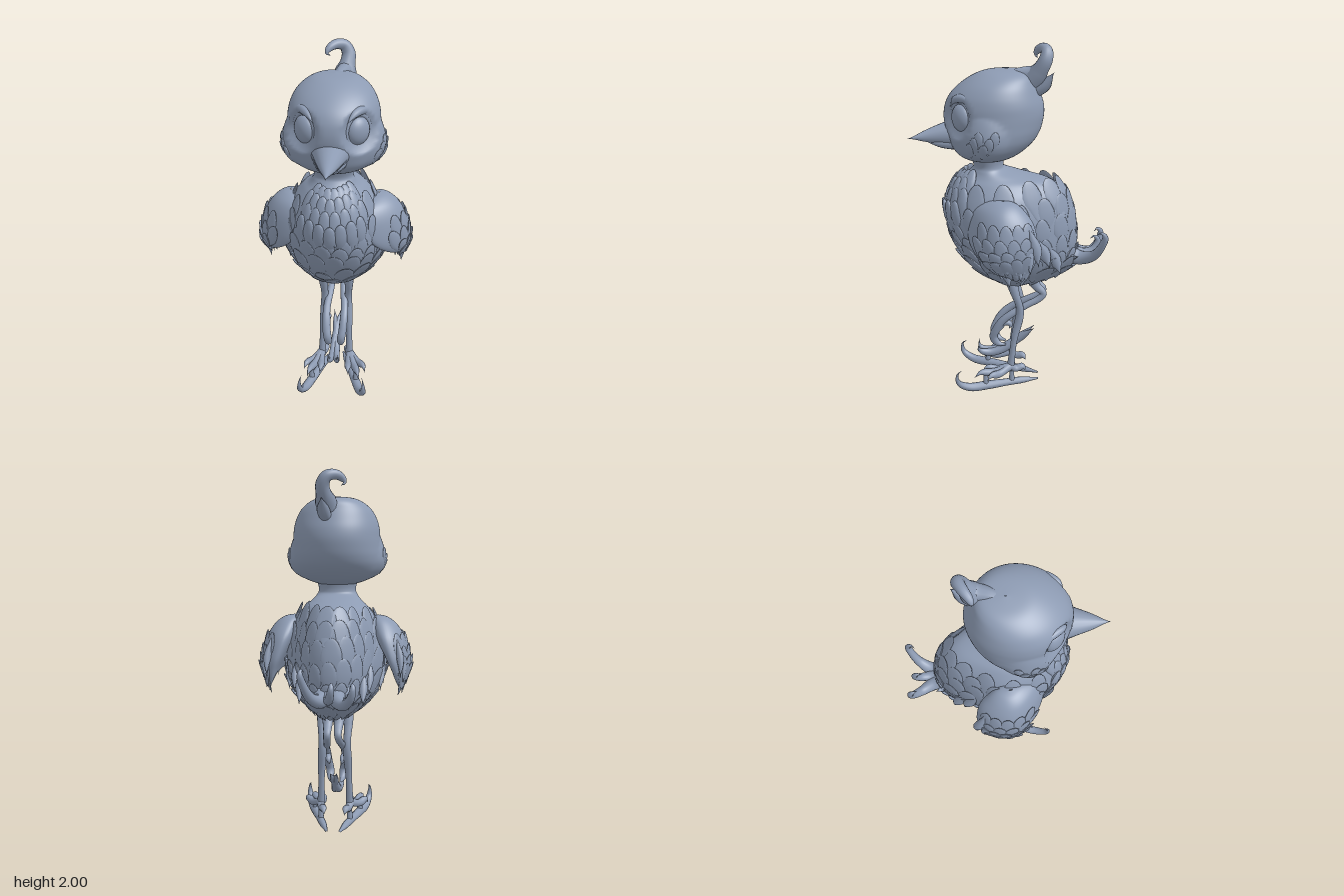
import * as THREE from 'three';
import { mergeGeometries } from 'three/addons/utils/BufferGeometryUtils.js';

const clay = new THREE.MeshStandardMaterial({ color: 0x8d9bb3 });
clay.name = 'blue grey clay';

// Smooth interpolation through a list of numbers, u in index units
function spline(v, u) {
  const n = v.length - 1, i = Math.min(Math.floor(u), n - 1), t = u - i;
  const a = v[Math.max(i - 1, 0)], b = v[i], c = v[i + 1], d = v[Math.min(i + 2, n)];
  return b + 0.5 * t * (c - a + t * (2 * a - 5 * b + 4 * c - d + t * (3 * (b - c) + d - a)));
}

// Surface of stacked ellipses; rows are [y, centre x, half width, front z, back z]
function surface(rows, warp) {
  const [Y, X, W, F, B] = [0, 1, 2, 3, 4].map(k => rows.map(r => r[k]));
  return (u, th) => {
    const f = spline(F, u), b = spline(B, u);
    return warp(new THREE.Vector3(
      spline(X, u) + Math.max(spline(W, u), 0.001) * Math.sin(th),
      spline(Y, u), (f + b) / 2 + (f - b) / 2 * Math.cos(th)));
  };
}

function loft(P, spans, steps = 6, sides = 56) {
  const n = spans * steps, pos = [], idx = [];
  for (let i = 0; i <= n; i++)
    for (let j = 0; j < sides; j++) pos.push(...P(i / steps, j / sides * Math.PI * 2).toArray());
  for (let i = 0; i < n; i++)
    for (let j = 0; j < sides; j++) {
      const a = i * sides + j, b = i * sides + (j + 1) % sides;
      idx.push(a, b, b + sides, a, b + sides, a + sides);
    }
  const g = new THREE.BufferGeometry();
  g.setAttribute('position', new THREE.Float32BufferAttribute(pos, 3));
  g.setIndex(idx);
  g.computeVertexNormals();
  return g;
}

// Tube of changing radius; s mirrors x, sq squashes the section
function horn(pts, radii, s = 1, sq = [1, 1, 1], seg = 32, sides = 12) {
  const curve = new THREE.CatmullRomCurve3(pts.map(p => new THREE.Vector3(p[0] * s, p[1], p[2])));
  const g = new THREE.TubeGeometry(curve, seg, 1, sides, false);
  const p = g.attributes.position, v = new THREE.Vector3(), k = new THREE.Vector3(...sq);
  for (let i = 0; i <= seg; i++) {
    const c = curve.getPointAt(i / seg), r = Math.max(spline(radii, i / seg * (radii.length - 1)), 0.0005);
    for (let j = 0; j <= sides; j++) {
      const q = i * (sides + 1) + j;
      v.fromBufferAttribute(p, q).sub(c).multiplyScalar(r).multiply(k).add(c);
      p.setXYZ(q, v.x, v.y, v.z);
    }
  }
  return g;
}

// Pointed feather lying on a surface, tip down and slightly proud
function feather(P, u, th, w, len, thick, lift) {
  const g = new THREE.SphereGeometry(1, 12, 10), p = g.attributes.position;
  for (let i = 0; i < p.count; i++) {
    const y = p.getY(i), k = y < 0 ? 1 + 0.7 * y : 1;
    p.setXYZ(i, p.getX(i) * w * k, y * len, p.getZ(i) * thick * k);
  }
  g.computeVertexNormals();
  const e = 0.02, c = P(u, th), up = P(u + e, th).sub(P(u - e, th)).normalize();
  const side = P(u, th + e).sub(P(u, th - e)).normalize();
  const n = side.clone().cross(up).normalize();
  side.crossVectors(up, n);
  g.rotateX(lift);
  g.applyMatrix4(new THREE.Matrix4().makeBasis(side, up, n).setPosition(c.addScaledVector(n, -0.004)));
  return g;
}

const BODY = [
  [0.62, 0, 0.02, 0.0, -0.06], [0.66, 0, 0.10, 0.07, -0.15], [0.72, 0, 0.175, 0.16, -0.3],
  [0.8, 0, 0.245, 0.24, -0.37], [0.9, 0, 0.282, 0.3, -0.38], [1.0, 0, 0.283, 0.335, -0.375],
  [1.1, 0, 0.268, 0.35, -0.355], [1.2, 0, 0.23, 0.325, -0.315], [1.265, 0, 0.18, 0.285, -0.235],
  [1.3, 0, 0.14, 0.24, -0.1], [1.33, 0, 0.115, 0.205, 0.01], [1.36, 0, 0.105, 0.195, 0.03], [1.42, 0, 0.12, 0.22, 0.02]];
const HEAD = [
  [1.385, 0, 0.09, 0.19, 0.04], [1.41, 0, 0.165, 0.26, -0.03], [1.45, 0, 0.222, 0.30, -0.09],
  [1.5, 0, 0.245, 0.322, -0.14], [1.55, 0, 0.25, 0.337, -0.168], [1.6, 0, 0.247, 0.347, -0.182],
  [1.65, 0, 0.243, 0.347, -0.188], [1.7, 0, 0.238, 0.335, -0.182], [1.75, 0, 0.224, 0.305, -0.165],
  [1.8, 0, 0.195, 0.25, -0.145], [1.84, 0, 0.148, 0.185, -0.125], [1.862, 0, 0.092, 0.12, -0.085], [1.87, 0, 0.002, 0.02, 0.01]];
const WING = [
  [0.84, 0.37, 0.012, 0.0, -0.1], [0.88, 0.37, 0.032, 0.08, -0.13], [0.93, 0.365, 0.05, 0.165, -0.15],
  [1.0, 0.345, 0.068, 0.212, -0.16], [1.1, 0.305, 0.083, 0.215, -0.14], [1.17, 0.272, 0.075, 0.175, -0.09],
  [1.21, 0.25, 0.045, 0.1, -0.04], [1.222, 0.245, 0.002, 0.04, 0.02]];

// Body narrows toward the tail
const bodyP = surface(BODY, p => {
  p.x *= 1 - 0.24 * THREE.MathUtils.smoothstep(-p.z, -0.05, 0.22);
  return p;
});

// Head has puffed cheeks and hollows for the eyes
const socket = new THREE.Vector3(0.15, 1.637, 0.275), cheek = new THREE.Vector3(0.25, 1.52, 0.13);
const headP = surface(HEAD, p => {
  const a = new THREE.Vector3(Math.abs(p.x), p.y, p.z);
  const hollow = 0.05 * Math.max(0, 1 - (a.distanceTo(socket) / 0.115) ** 2);
  const puff = 0.026 * Math.max(0, 1 - (a.distanceTo(cheek) / 0.14) ** 2);
  p.x += Math.sign(p.x) * (puff - hollow * 0.6);
  p.z -= hollow * 0.8;
  return p;
});

export function createModel() {
  const root = new THREE.Group();
  const add = (name, geo, parent = root) => {
    const m = new THREE.Mesh(Array.isArray(geo) ? mergeGeometries(geo) : geo, clay);
    m.name = name;
    parent.add(m);
    return m;
  };

  // Body with irregular rows of low plumage
  add('body', loft(bodyP, BODY.length - 1));
  const plumage = [];
  for (let r = 0; r < 7; r++) {
    const u = 1.9 + r * 0.8, n = 13 + Math.round(6 * Math.sin(r / 6 * Math.PI));
    for (let j = 0; j < n; j++) {
      const k = Math.sin(j * 12.9 + r * 7.3);
      plumage.push(feather(bodyP, u + k * 0.25, (j + (r % 2) / 2 + k * 0.2) / n * Math.PI * 2, 0.05 + k * 0.01, 0.1 + k * 0.02, 0.011, 0.06));
    }
  }
  add('bodyFeathers', plumage);

  // Chest bib ending in a jagged edge
  const bib = [];
  for (let r = 0; r < 4; r++)
    for (let j = -3; j <= 3; j++) {
      const a = (j + (r % 2) / 2) * 0.21;
      bib.push(feather(bodyP, 5.6 + r * 0.65 + Math.abs(a) * 0.5, a, 0.04, 0.1, 0.02, 0.1));
    }
  add('chestBib', bib);

  // Head and cheek tufts
  add('head', loft(headP, HEAD.length - 1, 6, 72));
  const tufts = [];
  for (const s of [1, -1])
    for (let j = 0; j < 6; j++)
      tufts.push(feather(headP, 2.7 + (j % 3) * 0.6, s * (1.1 + j * 0.11), 0.026, 0.05, 0.01, 0.08));
  add('cheekTufts', tufts);

  // Beak
  add('upperBeak', horn([[0, 1.53, 0.25], [0, 1.522, 0.34], [0, 1.507, 0.44], [0, 1.49, 0.55]],
    [0.115, 0.08, 0.043, 0], 1, [1, 0.72, 1], 24, 20));
  add('lowerBeak', horn([[0, 1.49, 0.25], [0, 1.48, 0.34], [0, 1.485, 0.48]], [0.095, 0.062, 0], 1, [1, 0.55, 1], 16, 16));

  // Curled crest and the small tuft behind it
  add('crest', horn([[0.03, 1.8, -0.11], [0.045, 1.86, -0.155], [0.052, 1.925, -0.19], [0.03, 1.965, -0.195],
    [-0.01, 1.975, -0.175], [-0.045, 1.96, -0.15], [-0.06, 1.935, -0.14], [-0.04, 1.918, -0.15]],
    [0.05, 0.058, 0.042, 0.037, 0.031, 0.026, 0.018, 0], 1, [1, 1, 1], 48, 14));
  add('crestSweep', horn([[0.0, 1.83, 0.02], [0.02, 1.842, -0.05], [0.04, 1.85, -0.13], [0.045, 1.89, -0.17]], [0.01, 0.035, 0.045, 0.03]));
  add('crestTuft', horn([[0.035, 1.75, -0.13], [0.05, 1.795, -0.185], [0.055, 1.86, -0.235]], [0.03, 0.034, 0]));

  // Middle tail plume
  add('middleTailPlume', horn([[0, 0.86, -0.32], [0, 0.83, -0.42], [-0.01, 0.85, -0.48], [-0.02, 0.9, -0.505], [-0.02, 0.925, -0.485], [-0.02, 0.91, -0.46]],
    [0.045, 0.036, 0.027, 0.022, 0.016, 0]));

  for (const s of [1, -1]) {
    const side = s > 0 ? 'left' : 'right';

    // Eye with soft rim and brow
    const eye = new THREE.Group();
    eye.name = side + 'Eye';
    eye.position.set(s * 0.132, 1.637, 0.24);
    eye.rotation.y = s * 0.74;
    root.add(eye);
    add('eyeball', new THREE.SphereGeometry(1, 28, 20), eye).scale.set(0.068, 0.074, 0.045);
    add('eyeRim', new THREE.TorusGeometry(0.074, 0.014, 10, 36), eye).scale.set(1, 1.12, 1);
    add('brow', horn([[-0.08, 0.05, 0.015], [-0.03, 0.095, 0.015], [0.04, 0.098, 0], [0.09, 0.05, -0.01]], [0, 0.02, 0.02, 0], s), eye);

    // Wing: rounded shell wrapped around the shoulder, scale feathers and flight feathers
    const wingP = surface(WING.map(r => [r[0], r[1] * s, ...r.slice(2)]), p => {
      p.x -= s * (p.z > 0 ? 2.8 : 1.2) * p.z * p.z;
      return p;
    });
    const scales = [];
    add(side + 'Wing', loft(wingP, WING.length - 1, 5, 44));
    for (let r = 0; r < 4; r++)
      for (let j = -2; j <= 2; j++)
        scales.push(feather(wingP, 1.0 + r * 0.8, s * (Math.PI / 2 + (j + (r % 2) / 2) * 0.36), 0.042, 0.1, 0.011, 0.06));
    add(side + 'WingFeathers', scales);
    add(side + 'FlightFeathers', [
      [0.1, 0.86, 0.34], [0.05, 0.83, 0.365], [0, 0.78, 0.375], [-0.06, 0.82, 0.385], [-0.11, 0.86, 0.38], [-0.15, 0.9, 0.365]
    ].map(([z, y, x]) => horn([[x - 0.02, y + 0.2, z * 0.75], [x, y + 0.09, z], [x, y, z - 0.015]],
      [0.01, 0.034, 0], s, [0.6, 1, 1], 16, 10)));
    add(side + 'FlankFeathers', [
      [0.2, 0.85, -0.2], [0.17, 0.8, -0.26], [0.255, 0.84, -0.04], [0.25, 0.84, 0.06]
    ].map(([x, y, z]) => horn([[x, y + 0.14, z + 0.05], [x, y + 0.05, z], [x, y - 0.03, z - 0.03]], [0.01, 0.035, 0], s, [0.7, 1, 1], 14, 10)));

    // Outer tail plume curling at its tip
    const h = s > 0 ? 0.03 : -0.04;
    add(side + 'TailPlume', horn([[0.035, 0.86, -0.31], [0.045, 0.82, -0.4], [0.085, 0.835 + h * 0.5, -0.475],
      [0.12, 0.9 + h, -0.52], [0.132, 0.95 + h, -0.53], [0.128, 0.97 + h, -0.51], [0.115, 0.955 + h, -0.49]],
      [0.05, 0.045, 0.036, 0.027, 0.022, 0.017, 0], s, [1, 1, 1], 40));
    add(side + 'TailCovert', horn([[0.07, 0.9, -0.28], [0.09, 0.84, -0.36], [0.105, 0.85, -0.39]], [0.05, 0.03, 0], s));

    // Standing leg
    add(side + 'StandingLeg', horn([[0.07, 0.7, -0.01], [0.075, 0.61, -0.035], [0.07, 0.49, -0.066], [0.078, 0.32, -0.035], [0.083, 0.11, -0.01]],
      [0.035, 0.022, 0.024, 0.018, 0.023], s));

    // Splayed foot on a curled skate
    const skate = new THREE.Group();
    skate.name = side + 'Skate';
    skate.position.x = s * 0.09;
    skate.rotation.y = s * 0.31;
    root.add(skate);
    add('blade', horn([[0, 0.015, -0.185], [0, 0.022, -0.06], [0, 0.024, 0.12], [0, 0.03, 0.24], [0, 0.07, 0.305],
      [0, 0.125, 0.31], [0, 0.15, 0.28]], [0.006, 0.02, 0.022, 0.026, 0.026, 0.018, 0], 1, [1, 0.95, 0.8], 40), skate);
    for (const z of [0.14, -0.02])
      add('strut', new THREE.CylinderGeometry(0.013, 0.018, 0.08, 12), skate).position.set(0, 0.06, z);
    for (const [x, z] of [[-0.045, 0.14], [0, 0.2], [0.05, 0.14], [0, -0.1]])
      add('toe', horn([[0, 0.13, -0.01], [x * 0.6, 0.108, z * 0.45], [x, 0.115, z * 0.85], [x * 1.1, 0.085, z * 1.05]],
        [0.024, 0.021, 0.021, 0], 1, [1, 1, 1], 18, 10), skate);

    // Folded leg tucked between the standing legs
    add(side + 'FoldedLeg', horn([[0.035, 0.7, -0.12], [0.03, 0.63, -0.16], [0.03, 0.585, -0.2], [0.033, 0.555, -0.18], [0.04, 0.51, -0.1],
      [0.052, 0.455, -0.01], [0.052, 0.41, 0.04], [0.048, 0.35, 0.075], [0.04, 0.3, 0.09], [0.035, 0.255, 0.065], [0.025, 0.24, 0.02]],
      [0.036, 0.028, 0.021, 0.02, 0.02, 0.021, 0.022, 0.023, 0.024, 0.022, 0.006], s, [1, 1, 1], 60));
    add(side + 'FoldedToe', horn([[0.045, 0.36, 0.06], [0.045, 0.4, 0.02], [0.04, 0.385, -0.01], [0.035, 0.35, 0]], [0.02, 0.018, 0.016, 0], s));
    add(side + 'FoldedBlade', horn([[0.03, 0.245, 0.18], [0.026, 0.2, 0.175], [0.015, 0.18, 0.12], [0.01, 0.195, 0.05],
      [0.0, 0.265, -0.05], [-0.02, 0.35, -0.15]], [0, 0.022, 0.025, 0.025, 0.022, 0], s, [0.8, 1, 1]));
  }
  return root;
}
